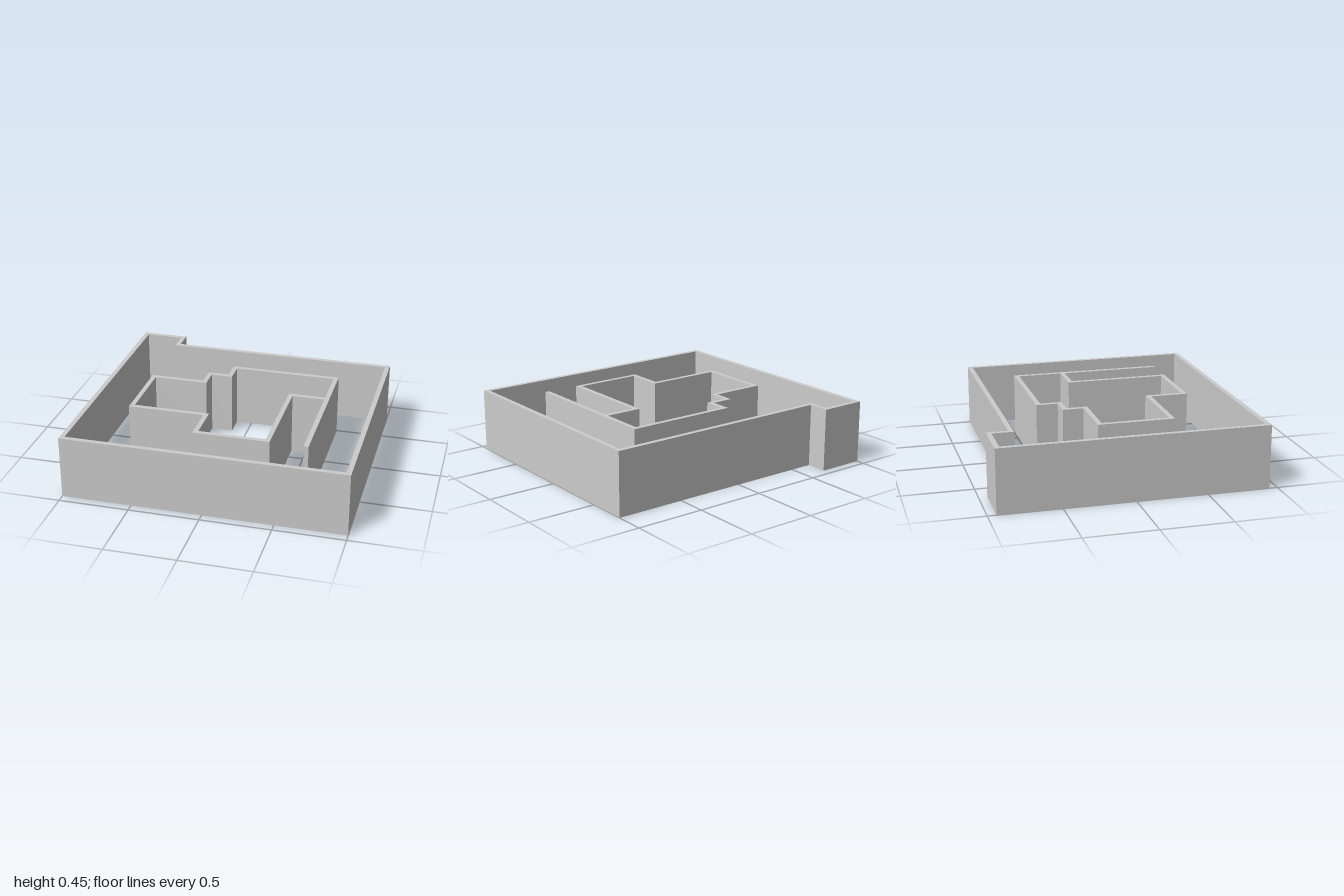
import * as THREE from 'three';

const HEIGHT = 0.452;
const THICK = 0.034;

// Shift a closed right-angled outline sideways by d
function offset(points, d) {
  const n = points.length;
  return points.map(([x, z], i) => {
    const [px, pz] = points[(i + n - 1) % n];
    const [nx, nz] = points[(i + 1) % n];
    const dx = Math.sign(z - pz) + Math.sign(nz - z);
    const dz = Math.sign(px - x) + Math.sign(x - nx);
    return new THREE.Vector2(x + dx * d, -(z + dz * d));
  });
}

// Upright wall of even thickness along a closed [x, z] centre line;
// the hole runs the opposite way so its faces look into the room
function wallLoop(name, centreLine, material) {
  const shape = new THREE.Shape(offset(centreLine, THICK / 2));
  shape.holes.push(new THREE.Path(offset(centreLine, -THICK / 2).reverse()));
  const geometry = new THREE.ExtrudeGeometry(shape, { depth: HEIGHT, bevelEnabled: false });
  geometry.rotateX(-Math.PI / 2);
  const mesh = new THREE.Mesh(geometry, material);
  mesh.name = name;
  return mesh;
}

export function createModel() {
  const group = new THREE.Group();
  group.name = 'walledEnclosure';
  const material = new THREE.MeshStandardMaterial({ color: 0xcccccc });
  const e = 1 - THICK / 2;
  const f = 0.94 - THICK / 2;

  // Outer wall with the projecting back corner
  group.add(wallLoop('outerWall', [
    [-e, -f], [-0.679, -f], [-0.679, -0.772], [e, -0.772], [e, f], [-e, f],
  ], material));

  // Stepped inner room
  group.add(wallLoop('innerWall', [
    [-0.131, -0.47], [0.643, -0.47], [0.643, -0.113], [0.376, -0.113],
    [0.376, 0.614], [-0.131, 0.614], [-0.131, 0.343], [-0.679, 0.343],
    [-0.679, -0.167], [-0.287, -0.167], [-0.287, -0.316], [-0.131, -0.316],
  ], material));

  // Free-standing wall running forward from the inner room
  const start = -0.113 + THICK / 2;
  const end = 0.614 + THICK / 2;
  const spur = new THREE.Mesh(new THREE.BoxGeometry(THICK, HEIGHT, end - start), material);
  spur.position.set(0.643, HEIGHT / 2, (start + end) / 2);
  spur.name = 'spurWall';
  group.add(spur);

  return group;
}
